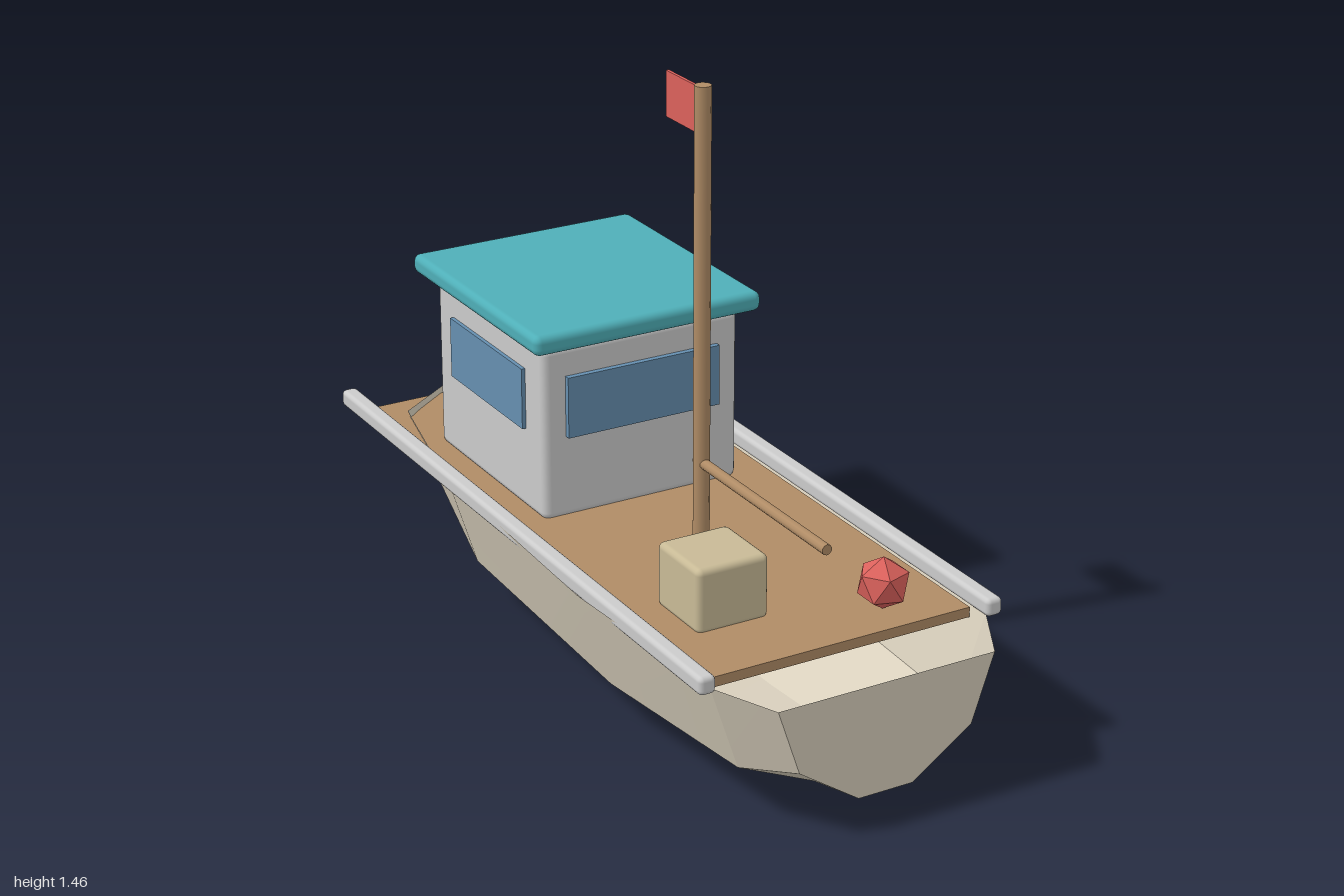
import * as THREE from 'three';
import { toCreasedNormals } from 'three/addons/utils/BufferGeometryUtils.js';
import { RoundedBoxGeometry } from 'three/addons/geometries/RoundedBoxGeometry.js';

const CX = -0.03; // centre line of the boat

const paint = (color, extra = {}) => new THREE.MeshStandardMaterial({ color, ...extra });

// Hard-chined open hull lofted through stations: [z, half width, keel y, chine y, sheer y]
function hullGeometry() {
  const stations = [
    [1, 0.28, 0.065, 0.17, 0.335],
    [0.85, 0.36, 0.04, 0.13, 0.345],
    [0.35, 0.41, 0, 0.115, 0.36],
    [-0.37, 0.385, 0, 0.12, 0.362],
    [-0.8, 0.285, 0.1, 0.21, 0.36],
    [-1, 0.012, 0.2, 0.255, 0.355],
  ];
  const pos = [], index = [], n = 6;
  for (const [z, w, keel, chine, sheer] of stations) {
    const half = [[w, sheer], [w * 0.8, chine], [w * 0.25, keel]];
    half.forEach(([x, y]) => pos.push(CX + x, y, z));
    half.reverse().forEach(([x, y]) => pos.push(CX - x, y, z));
  }
  for (let i = 0; i < stations.length - 1; i++) {
    for (let j = 0; j < n - 1; j++) {
      const a = i * n + j, b = a + 1, c = a + n, d = c + 1;
      index.push(a, b, c, b, d, c);
    }
  }
  // Transom and stem caps
  const last = (stations.length - 1) * n;
  for (let k = 1; k < n - 1; k++) {
    index.push(0, k + 1, k);
    index.push(last, last + k, last + k + 1);
  }
  const g = new THREE.BufferGeometry();
  g.setAttribute('position', new THREE.Float32BufferAttribute(pos, 3));
  g.setIndex(index);
  return toCreasedNormals(g, 0.35);
}

export function createModel() {
  const boat = new THREE.Group();
  boat.name = 'boat';

  const cream = paint(0xd8cfbc, { side: THREE.DoubleSide });
  const wood = paint(0xb08c66);
  const white = paint(0xe4e4e1);
  const teal = paint(0x4fafb8);
  const glass = paint(0x668fb0);
  const red = paint(0xdb615c);
  const pink = paint(0xdd6f78);
  const tan = paint(0xc8ba96);

  const add = (name, geometry, material, x, y, z) => {
    const m = new THREE.Mesh(geometry, material);
    m.name = name;
    m.position.set(x, y, z);
    boat.add(m);
    return m;
  };
  const box = (w, h, d) => new THREE.BoxGeometry(w, h, d);
  const rounded = (w, h, d, r) => new RoundedBoxGeometry(w, h, d, 2, r);

  // Hull and deck
  add('hull', hullGeometry(), cream, 0, 0, 0);
  add('deck', box(0.7, 0.025, 1.71), wood, CX, 0.3275, -0.052);

  // Rails along both sides
  for (const s of [-1, 1]) {
    add(s > 0 ? 'leftRail' : 'rightRail', rounded(0.042, 0.044, 1.835, 0.012), white, CX + s * 0.374, 0.36, -0.05);
  }

  // Cabin, roof and windows
  add('cabin', rounded(0.535, 0.445, 0.56, 0.02), white, CX, 0.555, -0.362);
  add('roof', rounded(0.615, 0.05, 0.66, 0.018), teal, CX, 0.805, -0.367);
  add('frontWindow', box(0.415, 0.155, 0.015), glass, CX, 0.623, -0.075);
  for (const s of [-1, 1]) {
    add(s > 0 ? 'leftWindow' : 'rightWindow', box(0.015, 0.155, 0.38), glass, CX + s * 0.27, 0.623, -0.362);
  }

  // Mast, boom and flag
  add('mast', new THREE.CylinderGeometry(0.02, 0.02, 1.13, 12), wood, CX, 0.898, 0.2);
  const boom = add('boom', new THREE.CylinderGeometry(0.013, 0.013, 0.565, 10), wood, CX, 0.543, 0.463);
  boom.rotation.x = Math.PI / 2;
  add('flag', box(0.008, 0.11, 0.15), red, CX, 1.4, 0.115);

  // Deck cargo: crate and faceted buoy standing on a point
  add('crate', rounded(0.185, 0.16, 0.185, 0.015), tan, -0.188, 0.413, 0.52);
  const buoy = add('buoy', new THREE.IcosahedronGeometry(0.065, 0), paint(0xdb615c, { flatShading: true }), 0.145, 0.405, 0.71);
  buoy.rotation.z = Math.atan(2 / (1 + Math.sqrt(5)));

  // Fenders hung on the left side
  for (const z of [-0.365, 0.046, 0.46]) {
    add('fender', new THREE.CylinderGeometry(0.048, 0.048, 0.157, 12), pink, 0.388, 0.211, z);
  }

  return boat;
}
